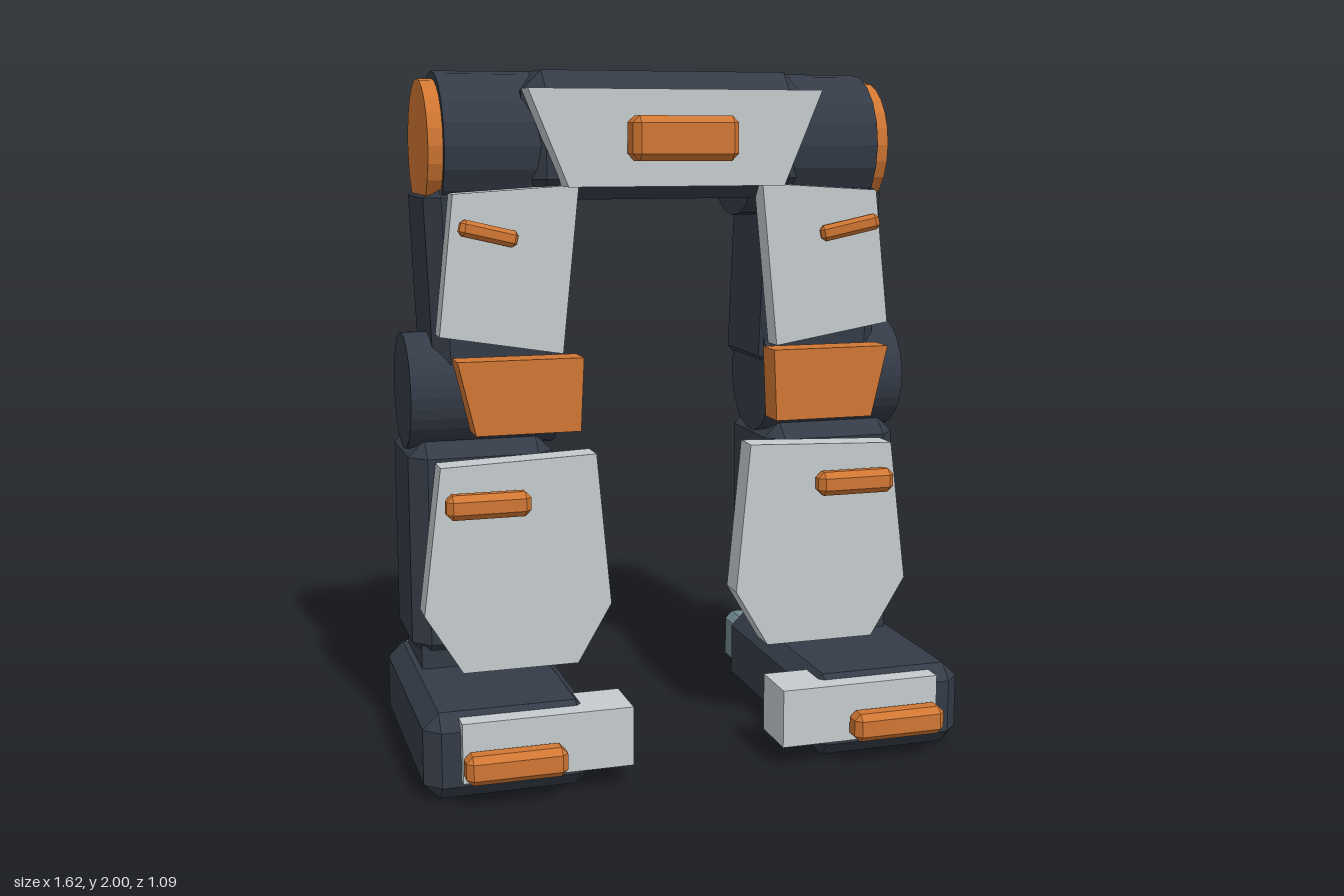
import * as THREE from 'three';
import { ConvexGeometry } from 'three/addons/geometries/ConvexGeometry.js';

const material = (name, color) => {
  const m = new THREE.MeshStandardMaterial({ color });
  m.name = name;
  return m;
};

// Box with flat chamfers on every edge, given by its extents
function chamferBox([x0, x1], [y0, y1], [z0, z1], b) {
  const half = [(x1 - x0) / 2, (y1 - y0) / 2, (z1 - z0) / 2];
  const points = [];
  for (const sx of [-1, 1]) for (const sy of [-1, 1]) for (const sz of [-1, 1]) {
    for (let axis = 0; axis < 3; axis++) {
      const [x, y, z] = half.map((h, i) => (i === axis ? h : h - b));
      points.push(new THREE.Vector3(sx * x, sy * y, sz * z));
    }
  }
  return new ConvexGeometry(points);
}

const middle = ([a, b]) => (a + b) / 2;

export function createModel() {
  const dark = material('dark frame', 0x343b47);
  const light = material('light armour', 0xc4cace);
  const orange = material('orange accent', 0xd07632);
  const teal = material('grey teal heel', 0x6e868c);

  const model = new THREE.Group();
  model.name = 'walkerLegs';

  const add = (parent, name, geometry, mat, x = 0, y = 0, z = 0) => {
    const mesh = new THREE.Mesh(geometry, mat);
    mesh.name = name;
    mesh.position.set(x, y, z);
    parent.add(mesh);
    return mesh;
  };

  // side mirrors the x extents: 1 is left, -1 is right
  const block = (parent, name, mat, xs, ys, zs, bevel, side = 1) => {
    const geometry = bevel
      ? chamferBox(xs, ys, zs, bevel)
      : new THREE.BoxGeometry(xs[1] - xs[0], ys[1] - ys[0], zs[1] - zs[0]);
    return add(parent, name, geometry, mat, side * middle(xs), middle(ys), middle(zs));
  };

  const plate = (parent, name, mat, outline, [z0, z1], side = 1) => {
    const shape = new THREE.Shape(outline.map(([x, y]) => new THREE.Vector2(side * x, y)));
    const geometry = new THREE.ExtrudeGeometry(shape, { depth: z1 - z0, bevelEnabled: false });
    return add(parent, name, geometry, mat, 0, 0, z0);
  };

  const drum = (parent, name, mat, radius, [x0, x1], y, z, side, segments) => {
    const geometry = new THREE.CylinderGeometry(radius, radius, x1 - x0, segments).toNonIndexed();
    geometry.computeVertexNormals();
    geometry.rotateZ(Math.PI / 2);
    return add(parent, name, geometry, mat, side * (x0 + x1) / 2, y, z);
  };

  // Pelvis
  block(model, 'pelvis', dark, [-0.43, 0.43], [1.63, 2], [-0.373, 0.1], 0.06);
  plate(model, 'pelvisPlate', light,
    [[-0.44, 1.945], [-0.325, 1.67], [0.325, 1.67], [0.44, 1.945]], [0.09, 0.178]);
  block(model, 'pelvisLamp', orange, [-0.157, 0.157], [1.743, 1.87], [0.17, 0.268], 0.02);

  for (const side of [1, -1]) {
    const leg = new THREE.Group();
    leg.name = side > 0 ? 'leftLeg' : 'rightLeg';
    model.add(leg);

    // Hip
    drum(leg, 'hipJoint', dark, 0.215, [0.27, 0.66], 1.785, -0.127, side, 20);
    drum(leg, 'hipCap', orange, 0.192, [0.655, 0.703], 1.785, -0.125, side, 24);

    // Thigh, leaning slightly inward at the bottom
    const thigh = block(leg, 'thigh', dark, [0.325, 0.7], [1.09, 1.69], [-0.333, 0.042], 0.045, side);
    thigh.rotation.z = -side * 0.04;
    plate(leg, 'thighPlate', light,
      [[0.645, 1.652], [0.28, 1.675], [0.33, 1.19], [0.69, 1.25]], [0.04, 0.115], side);
    const strip = block(leg, 'thighStrip', orange, [0.46, 0.64], [1.518, 1.566], [0.122, 0.158], 0.012, side);
    strip.rotation.set(0, -side * 0.22, side * 0.23);

    // Knee
    drum(leg, 'kneeJoint', dark, 0.173, [0.327, 0.768], 1.07, -0.106, side, 32);
    plate(leg, 'kneePlate', orange,
      [[0.655, 1.188], [0.29, 1.188], [0.3, 0.975], [0.605, 0.975]], [0.105, 0.2], side);

    // Shin and ankle
    block(leg, 'shin', dark, [0.34, 0.77], [0.275, 0.935], [-0.338, 0.04], 0.05, side);
    plate(leg, 'shinPlate', light,
      [[0.7, 0.878], [0.24, 0.895], [0.197, 0.44], [0.3, 0.265], [0.645, 0.265], [0.755, 0.445]],
      [0.055, 0.143], side);
    block(leg, 'shinStrip', orange, [0.445, 0.692], [0.732, 0.805], [0.14, 0.2], 0.018, side);
    block(leg, 'ankle', dark, [0.37, 0.747], [0.2, 0.32], [-0.262, 0.018], 0, side);

    // Foot
    block(leg, 'foot', dark, [0.33, 0.808], [0, 0.248], [-0.32, 0.45], 0.045, side);
    block(leg, 'toePlate', light, [0.225, 0.71], [0.063, 0.234], [0.313, 0.477], 0, side);
    block(leg, 'toeStrip', orange, [0.427, 0.71], [0.075, 0.158], [0.472, 0.545], 0.018, side);
    block(leg, 'heel', teal, [0.395, 0.737], [0.003, 0.176], [-0.547, -0.335], 0.024, side);
  }
  return model;
}
